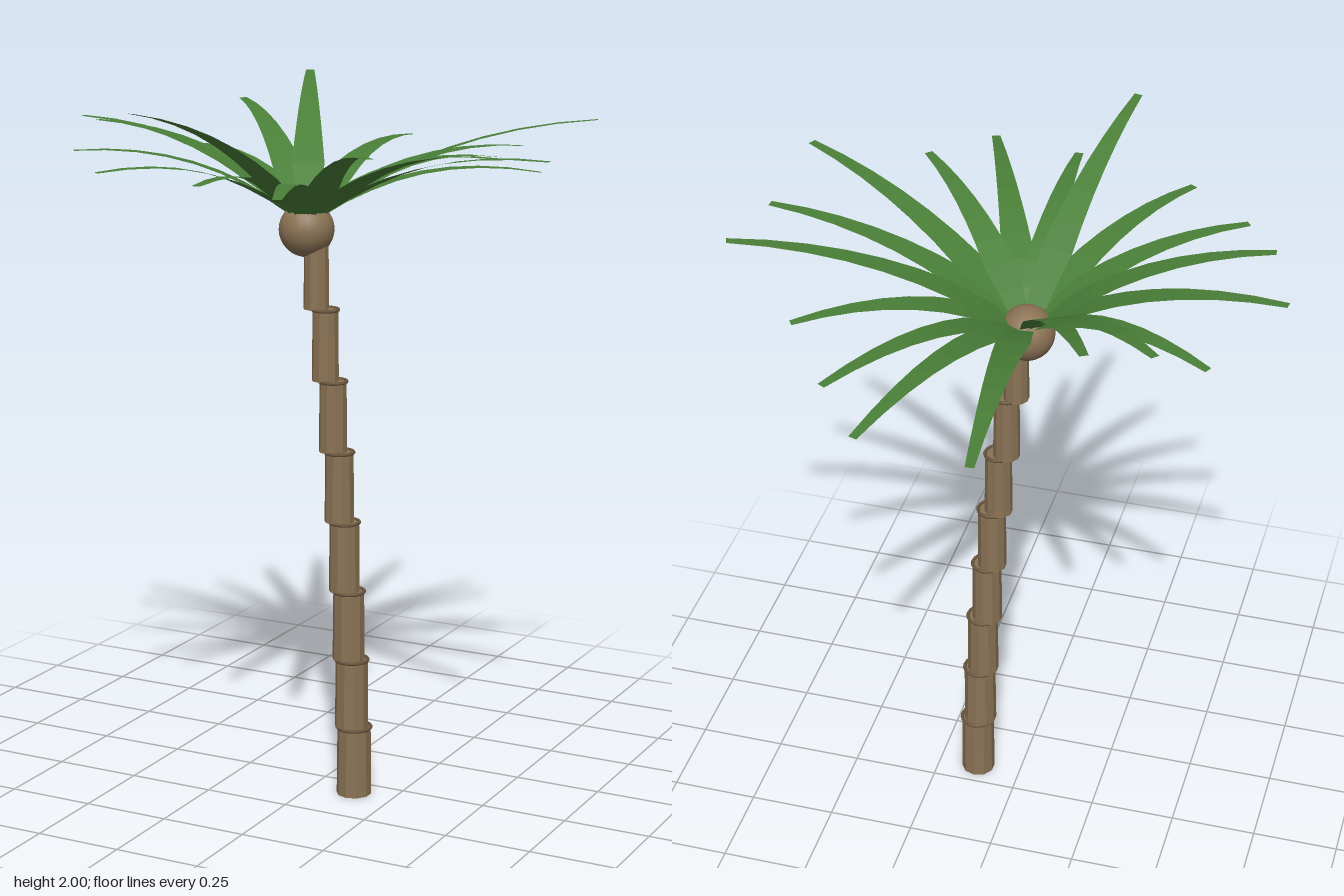
import * as THREE from 'three';

const mat = (name, color, extra = {}) => {
  const m = new THREE.MeshStandardMaterial({ color, ...extra });
  m.name = name;
  return m;
};

const CX = -0.02, CZ = 0.07; // crown centre

// One curved, flat leaf: a strip that swells near the base and tapers to a blunt tip
function frondGeometry(tipX, tipY, tipZ) {
  const dx = tipX - CX, dz = tipZ - CZ;
  const len = Math.hypot(dx, dz);
  const ux = dx / len, uz = dz / len;
  const base = new THREE.Vector3(CX + ux * 0.035, 1.655, CZ + uz * 0.035);
  const tip = new THREE.Vector3(tipX, tipY, tipZ);
  const control = base.clone().lerp(tip, 0.42);
  control.y += 0.13;
  const curve = new THREE.QuadraticBezierCurve3(base, control, tip);
  const steps = 8, pos = [], index = [];
  for (let i = 0; i <= steps; i++) {
    const t = i / steps;
    const p = curve.getPoint(t);
    const half = t < 0.25
      ? THREE.MathUtils.lerp(0.027, 0.046, t / 0.25)
      : THREE.MathUtils.lerp(0.046, 0.012, (t - 0.25) / 0.75);
    pos.push(p.x + uz * half, p.y, p.z - ux * half, p.x - uz * half, p.y, p.z + ux * half);
    if (i < steps) {
      const a = i * 2;
      index.push(a, a + 1, a + 2, a + 1, a + 3, a + 2);
    }
  }
  const g = new THREE.BufferGeometry();
  g.setAttribute('position', new THREE.Float32BufferAttribute(pos, 3));
  g.setIndex(index);
  // keep the upper side as the front
  g.computeVertexNormals();
  if (g.attributes.normal.getY(8) < 0) {
    g.setIndex(index.reverse());
    g.computeVertexNormals();
  }
  return g;
}

export function createModel() {
  const model = new THREE.Group();
  model.name = 'palmTree';
  const bark = mat('bark brown', 0x8b7355, { flatShading: true });
  const heart = mat('crown brown', 0x8b7355);
  const ringMat = mat('ring brown', 0x6b5740);
  const leaf = mat('leaf green', 0x4a7f38, { side: THREE.DoubleSide, flatShading: true });

  // Trunk: upright stacked segments stepping sideways, a thin ring on each joint
  const trunk = new THREE.Group();
  trunk.name = 'trunk';
  const centres = [0.13, 0.122, 0.112, 0.098, 0.082, 0.062, 0.038, 0.01];
  centres.forEach((x, i) => {
    const r = 0.05 - i * 0.002;
    const seg = new THREE.Mesh(new THREE.CylinderGeometry(r - 0.002, r, 0.2, 10), bark);
    seg.name = 'trunkSegment';
    seg.position.set(x, 0.1 + i * 0.2, 0.075);
    trunk.add(seg);
    if (i === centres.length - 1) return;
    const ring = new THREE.Mesh(new THREE.TorusGeometry(r - 0.002, 0.005, 6, 20), ringMat);
    ring.name = 'trunkRing';
    ring.rotation.x = Math.PI / 2;
    ring.position.set(x, 0.2 + i * 0.2, 0.075);
    trunk.add(ring);
  });
  model.add(trunk);

  // Round heart of the crown
  const ball = new THREE.Mesh(new THREE.SphereGeometry(0.077, 24, 16), heart);
  ball.name = 'crownHeart';
  ball.position.set(CX, 1.62, 0.075);
  model.add(ball);

  // Leaf tips around the crown: x, y, z
  const tips = [
    [-0.105, 1.785, -0.775], [0.225, 1.745, -0.68], [0.345, 1.8, -0.56],
    [0.53, 1.77, -0.265], [0.73, 1.935, -0.175], [0.73, 1.86, 0.155],
    [0.705, 1.9, 0.44], [0.38, 1.885, 0.495], [0.26, 1.81, 0.765],
    [0, 1.82, 0.715], [-0.155, 2, 0.77], [-0.355, 1.82, 0.62],
    [-0.55, 1.845, 0.42], [-0.665, 1.91, 0.19], [-0.735, 1.875, 0],
    [-0.575, 1.79, -0.22], [-0.47, 1.915, -0.38], [-0.325, 1.99, -0.53],
  ];
  const crown = new THREE.Group();
  crown.name = 'crown';
  for (const [x, y, z] of tips) {
    const frond = new THREE.Mesh(frondGeometry(x, y, z), leaf);
    frond.name = 'frond';
    crown.add(frond);
  }
  model.add(crown);
  return model;
}
